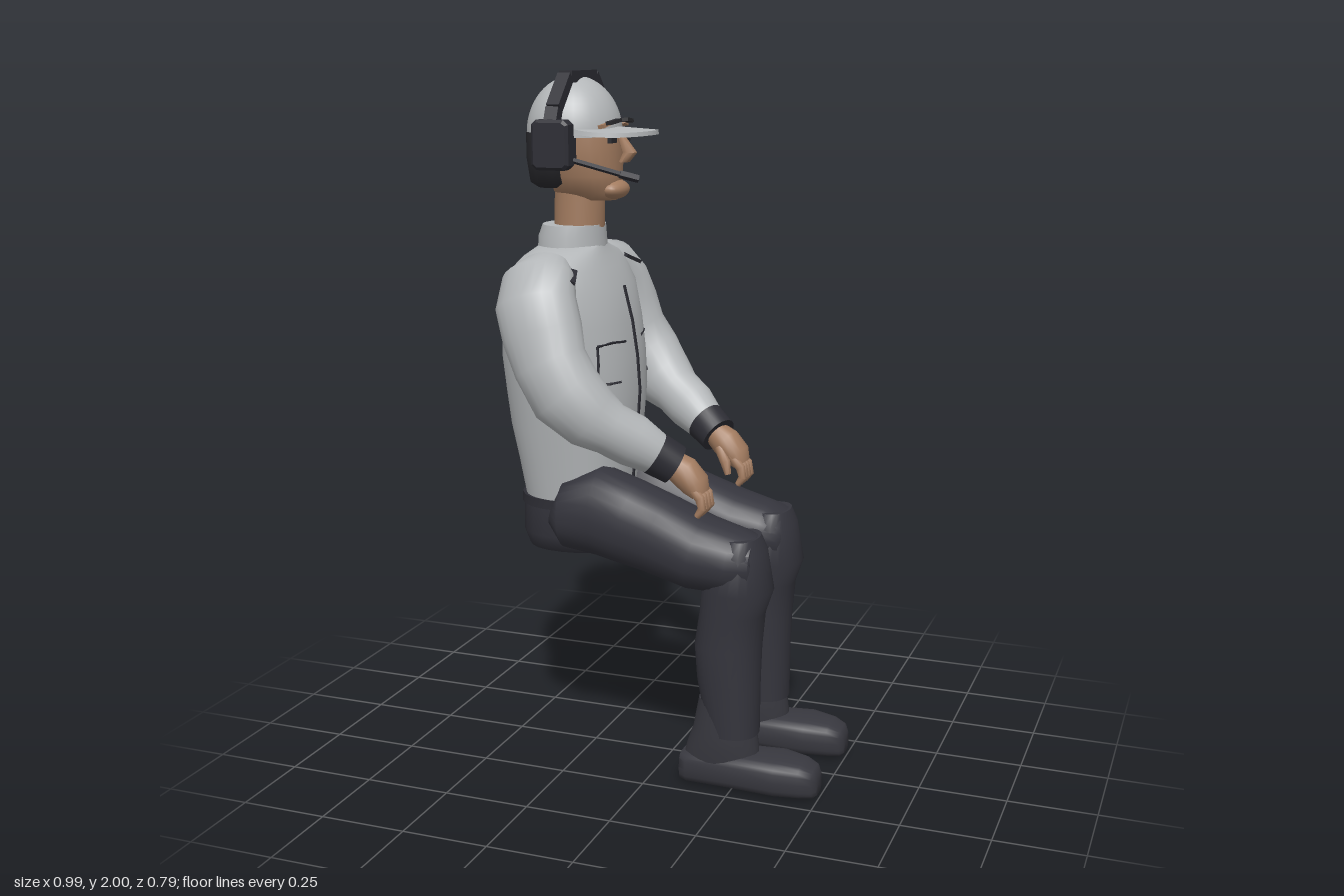
import * as THREE from 'three';
import { toCreasedNormals } from 'three/addons/utils/BufferGeometryUtils.js';

const mat = (name, color) => Object.assign(new THREE.MeshStandardMaterial({ color }), { name });
const V = (x, y, z) => new THREE.Vector3(x, y, z);
const UP = V(0, 1, 0), DOWN = V(0, -1, 0), FORWARD = V(1, 0, 0);

// Closed skin through rings [x, y, z, radius, sideRadius]; p is the superellipse power.
// A fixed axis must point the way the rings advance.
function loft(rings, { axis = null, p = 2, n = 24, crease = 0.9 } = {}) {
  const pos = [], idx = [], last = rings.length - 1;
  const centre = i => V(...rings[i].slice(0, 3));
  for (let i = 0; i <= last; i++) {
    const t = axis ? axis.clone() : centre(Math.min(i + 1, last)).sub(centre(Math.max(i - 1, 0))).normalize();
    const w = V(0, 0, 1).addScaledVector(t, -t.z).normalize();
    const u = t.clone().cross(w);
    for (let j = 0; j < n; j++) {
      const a = j / n * Math.PI * 2, c = Math.cos(a), s = Math.sin(a);
      const q = centre(i)
        .addScaledVector(u, Math.sign(c) * Math.abs(c) ** (2 / p) * rings[i][3])
        .addScaledVector(w, Math.sign(s) * Math.abs(s) ** (2 / p) * rings[i][4]);
      pos.push(q.x, q.y, q.z);
    }
  }
  for (let i = 0; i < last; i++) for (let j = 0; j < n; j++) {
    const a = i * n + j, b = i * n + (j + 1) % n;
    idx.push(a, a + n, b, b, a + n, b + n);
  }
  const c0 = pos.length / 3, c1 = c0 + 1;
  pos.push(...rings[0].slice(0, 3), ...rings[last].slice(0, 3));
  for (let j = 0; j < n; j++) {
    const k = (j + 1) % n;
    idx.push(c0, j, k, c1, last * n + k, last * n + j);
  }
  const g = new THREE.BufferGeometry();
  g.setAttribute('position', new THREE.Float32BufferAttribute(pos, 3));
  g.setIndex(idx);
  return toCreasedNormals(g, crease);
}

// Straight box bar between two points
function bar(a, b, w, d) {
  const dir = b.clone().sub(a), g = new THREE.BoxGeometry(w, dir.length(), d);
  g.applyQuaternion(new THREE.Quaternion().setFromUnitVectors(UP, dir.clone().normalize()));
  const m = a.clone().add(b).multiplyScalar(0.5);
  return g.translate(m.x, m.y, m.z);
}
const ball = (x, y, z, rx, ry, rz) => new THREE.SphereGeometry(1, 20, 14).scale(rx, ry, rz).translate(x, y, z);
const box = (x, y, z, w, h, d) => new THREE.BoxGeometry(w, h, d).translate(x, y, z);

// Jacket body: [y, back x, front x, half width]
const TORSO = [
  [0.785, -0.44, -0.13, 0.168], [0.9, -0.46, -0.12, 0.185], [1.0, -0.48, -0.11, 0.2],
  [1.1, -0.49, -0.103, 0.215], [1.2, -0.497, -0.11, 0.23], [1.3, -0.49, -0.125, 0.243],
  [1.4, -0.47, -0.15, 0.25], [1.455, -0.45, -0.18, 0.24], [1.485, -0.425, -0.195, 0.2],
  [1.503, -0.405, -0.205, 0.14], [1.515, -0.39, -0.21, 0.1]];
const TORSO_P = 2.35;

// Point on the chest at height y and side z
function chest(y, z) {
  const i = Math.max(0, TORSO.findIndex(r => r[0] > y) - 1);
  const a = TORSO[i], b = TORSO[i + 1], k = Math.max(0, (y - a[0]) / (b[0] - a[0]));
  const [, x0, x1, w] = a.map((v, n) => v + (b[n] - v) * k);
  const f = (1 - Math.min(1, Math.abs(z) / w) ** TORSO_P) ** (1 / TORSO_P);
  return V((x0 + x1) / 2 + (x1 - x0) / 2 * f, y, z);
}

export function createModel() {
  const model = new THREE.Group();
  const jacket = mat('jacketGrey', 0xb4b7b9), trousers = mat('trouserCharcoal', 0x35353d);
  const skin = mat('skin', 0xa37c60), dark = mat('headsetBlack', 0x2d2d34);
  const hairMat = mat('hairDark', 0x2a2a2e), boot = mat('bootCharcoal', 0x38383f);
  const add = (name, geo, m) => {
    const mesh = new THREE.Mesh(geo, m);
    mesh.name = name;
    model.add(mesh);
  };

  // Body
  add('jacketBody', loft(TORSO.map(([y, b, f, w]) => [(b + f) / 2, y, 0, (f - b) / 2, w]),
    { axis: UP, p: TORSO_P, n: 40 }), jacket);
  add('collar', loft([[-0.305, 1.48, 0, 0.1, 0.112], [-0.305, 1.54, 0, 0.095, 0.11], [-0.3, 1.572, 0, 0.088, 0.104]],
    { axis: UP }), jacket);
  add('pelvis', loft([[-0.29, 0.622, 0, 0.11, 0.11], [-0.29, 0.635, 0, 0.145, 0.15],
    [-0.29, 0.68, 0, 0.16, 0.168], [-0.287, 0.77, 0, 0.16, 0.17]], { axis: UP, p: 2.35 }), trousers);
  add('belt', loft([[-0.287, 0.765, 0, 0.167, 0.175], [-0.287, 0.792, 0, 0.165, 0.174]], { axis: UP, p: 2.35 }), dark);
  const zipY = [0.73, 0.8, 0.9, 1.0, 1.1, 1.2, 1.3, 1.4];
  for (let i = 1; i < zipY.length; i++)
    add('zip', bar(chest(zipY[i - 1], 0), chest(zipY[i], 0), 0.009, 0.011), dark);

  // Head
  add('neck', loft([[-0.285, 1.5, 0, 0.072, 0.073], [-0.28, 1.7, 0, 0.072, 0.073]], { axis: UP }), skin);
  add('head', loft([[-0.255, 1.642, 0, 0.085, 0.05], [-0.255, 1.665, 0, 0.1, 0.08], [-0.26, 1.71, 0, 0.1, 0.1],
    [-0.268, 1.78, 0, 0.113, 0.113], [-0.273, 1.835, 0, 0.112, 0.113]], { axis: UP, p: 2.2 }), skin);
  add('chin', ball(-0.175, 1.672, 0, 0.04, 0.028, 0.06), skin);
  add('nose', loft([[-0.158, 1.825, 0, 0.012, 0.012], [-0.128, 1.775, 0, 0.022, 0.02], [-0.145, 1.748, 0, 0.016, 0.018]],
    { axis: DOWN, n: 8 }), skin);
  add('hair', loft([[-0.345, 1.675, 0, 0.055, 0.07], [-0.342, 1.69, 0, 0.078, 0.1], [-0.34, 1.76, 0, 0.088, 0.118],
    [-0.335, 1.83, 0, 0.092, 0.122]], { axis: UP, p: 2.2 }), hairMat);

  // Cap
  add('capCrown', new THREE.SphereGeometry(1, 32, 14, 0, Math.PI * 2, 0, Math.PI / 2)
    .scale(0.135, 0.16, 0.138).translate(-0.295, 1.825, 0), jacket);
  add('capBase', new THREE.CylinderGeometry(0.135, 0.135, 0.008, 32).translate(-0.295, 1.823, 0), jacket);
  add('capButton', ball(-0.3, 1.984, 0, 0.01, 0.007, 0.01), jacket);
  const peak = new THREE.CylinderGeometry(0.138, 0.14, 0.012, 36, 1).rotateZ(-0.08);
  const pp = peak.attributes.position;
  for (let i = 0; i < pp.count; i++) pp.setY(i, pp.getY(i) - 0.6 * pp.getZ(i) ** 2);
  add('capPeak', toCreasedNormals(peak.translate(-0.19, 1.842, 0), 0.7), jacket);

  // Headset band and microphone
  const band = [[0.187, 1.855], [0.168, 1.9], [0.088, 1.983], [-0.088, 1.983], [-0.168, 1.9], [-0.187, 1.855]];
  for (let i = 1; i < band.length; i++) {
    const [a, b] = [band[i - 1], band[i]];
    add('headband', bar(V(-0.282, a[1], a[0]), V(-0.282, b[1], b[0]), 0.038, 0.032), dark);
  }
  add('microphoneBoom', bar(V(-0.24, 1.765, 0.175), V(-0.1, 1.715, 0.085), 0.011, 0.011), dark);
  add('microphone', bar(V(-0.12, 1.722, 0.098), V(-0.075, 1.708, 0.07), 0.016, 0.016), dark);

  // Paired parts
  for (const s of [1, -1]) {
    const side = s > 0 ? 'left' : 'right';
    const pair = (name, geo, m) => add(side + name, geo, m);
    const limb = (rings, opts) => loft(rings.map(([x, y, z, a, b]) => [x, y, z * s, a, b]), opts);

    // Ear cup: block with clipped corners
    const outline = new THREE.Shape([[-0.04, -0.068], [0.04, -0.068], [0.055, -0.055], [0.055, 0.055],
      [0.04, 0.068], [-0.04, 0.068], [-0.055, 0.055], [-0.055, -0.055]].map(c => new THREE.Vector2(...c)));
    const cup = new THREE.ExtrudeGeometry(outline, { depth: 0.036, bevelThickness: 0.008, bevelSize: 0.008, bevelOffset: -0.008, bevelSegments: 1 });
    pair('EarCup', cup.translate(-0.281, 1.803, 0.185 * s - 0.018), dark);
    pair('EarCushion', box(-0.281, 1.8, 0.14 * s, 0.075, 0.105, 0.06), dark);
    pair('Eye', box(-0.16, 1.81, 0.05 * s, 0.012, 0.014, 0.04), hairMat);
    pair('Brow', bar(V(-0.152, 1.864, 0.022 * s), V(-0.158, 1.858, 0.08 * s), 0.02, 0.01), hairMat);
    pair('BrowSkin', bar(V(-0.172, 1.856, 0.05 * s), V(-0.178, 1.848, 0.088 * s), 0.02, 0.01), skin);

    // Chest pocket outline and shoulder tab
    const pocket = [[1.14, 0.1], [1.14, 0.135], [1.14, 0.17], [1.2, 0.17], [1.25, 0.17], [1.255, 0.12], [1.25, 0.06]]
      .map(([y, z]) => chest(y, z * s));
    for (let i = 1; i < pocket.length; i++) pair('PocketSeam', bar(pocket[i - 1], pocket[i], 0.006, 0.006), dark);
    pair('ShoulderTab', bar(V(-0.22, 1.462, 0.19 * s), V(-0.2, 1.437, 0.25 * s), 0.018, 0.01), dark);

    // Sleeve, cuff and hand
    pair('Sleeve', limb([[-0.32, 1.463, 0.16, 0.075, 0.05], [-0.315, 1.435, 0.218, 0.108, 0.075],
      [-0.3, 1.375, 0.27, 0.118, 0.086], [-0.275, 1.3, 0.286, 0.118, 0.084], [-0.245, 1.22, 0.302, 0.108, 0.084],
      [-0.195, 1.14, 0.308, 0.108, 0.089], [-0.13, 1.075, 0.288, 0.092, 0.082], [-0.085, 1.045, 0.268, 0.075, 0.072],
      [-0.03, 1.01, 0.24, 0.075, 0.07], [0.035, 0.965, 0.207, 0.058, 0.054]]), jacket);
    pair('Cuff', limb([[0.025, 0.972, 0.212, 0.062, 0.058], [0.075, 0.938, 0.188, 0.058, 0.056]]), dark);
    pair('Hand', limb([[0.06, 0.948, 0.192, 0.036, 0.036], [0.1, 0.92, 0.183, 0.045, 0.046],
      [0.135, 0.885, 0.182, 0.04, 0.048], [0.15, 0.86, 0.182, 0.025, 0.04]], { n: 16 }), skin);
    for (let f = 0; f < 4; f++) {
      const z = 0.146 + f * 0.023;
      pair('Finger', limb([[0.125, 0.89, z, 0.014, 0.012], [0.158, 0.855, z, 0.015, 0.012],
        [0.165, 0.825, z, 0.013, 0.011], [0.15, 0.803, z, 0.009, 0.009]], { n: 8 }), skin);
    }
    pair('Thumb', limb([[0.09, 0.91, 0.15, 0.016, 0.016], [0.115, 0.87, 0.135, 0.016, 0.014],
      [0.125, 0.835, 0.13, 0.01, 0.01]], { n: 8 }), skin);

    // Trouser leg
    pair('Thigh', limb([[-0.305, 0.765, 0.14, 0.05, 0.06], [-0.27, 0.755, 0.138, 0.1, 0.105],
      [-0.17, 0.77, 0.133, 0.13, 0.112], [-0.08, 0.745, 0.135, 0.123, 0.112], [0.02, 0.718, 0.14, 0.114, 0.114],
      [0.14, 0.682, 0.15, 0.105, 0.12], [0.24, 0.668, 0.15, 0.093, 0.108], [0.3, 0.665, 0.148, 0.078, 0.09],
      [0.312, 0.665, 0.148, 0.055, 0.065]], { p: 2.2 }), trousers);
    pair('Shin', limb([[0.265, 0.742, 0.15, 0.045, 0.075], [0.258, 0.7, 0.15, 0.07, 0.097], [0.25, 0.59, 0.15, 0.1, 0.1],
      [0.235, 0.52, 0.15, 0.092, 0.09], [0.223, 0.42, 0.15, 0.095, 0.09], [0.225, 0.32, 0.15, 0.09, 0.084],
      [0.24, 0.16, 0.15, 0.074, 0.074]], { axis: DOWN, p: 2.2 }), trousers);

    // Boot
    pair('BootShaft', limb([[0.215, 0.26, 0.15, 0.075, 0.07], [0.215, 0.17, 0.15, 0.092, 0.073],
      [0.21, 0.12, 0.15, 0.105, 0.072], [0.205, 0.07, 0.15, 0.113, 0.065]], { axis: DOWN }), boot);
    pair('Boot', limb([[0.09, 0.042, 0.15, 0.042, 0.045], [0.115, 0.046, 0.15, 0.046, 0.065],
      [0.25, 0.052, 0.15, 0.052, 0.072], [0.38, 0.054, 0.152, 0.054, 0.081], [0.45, 0.05, 0.152, 0.05, 0.064],
      [0.485, 0.044, 0.152, 0.044, 0.044], [0.495, 0.038, 0.152, 0.03, 0.03]], { axis: FORWARD, p: 3.5 }), boot);
  }
  return model;
}
